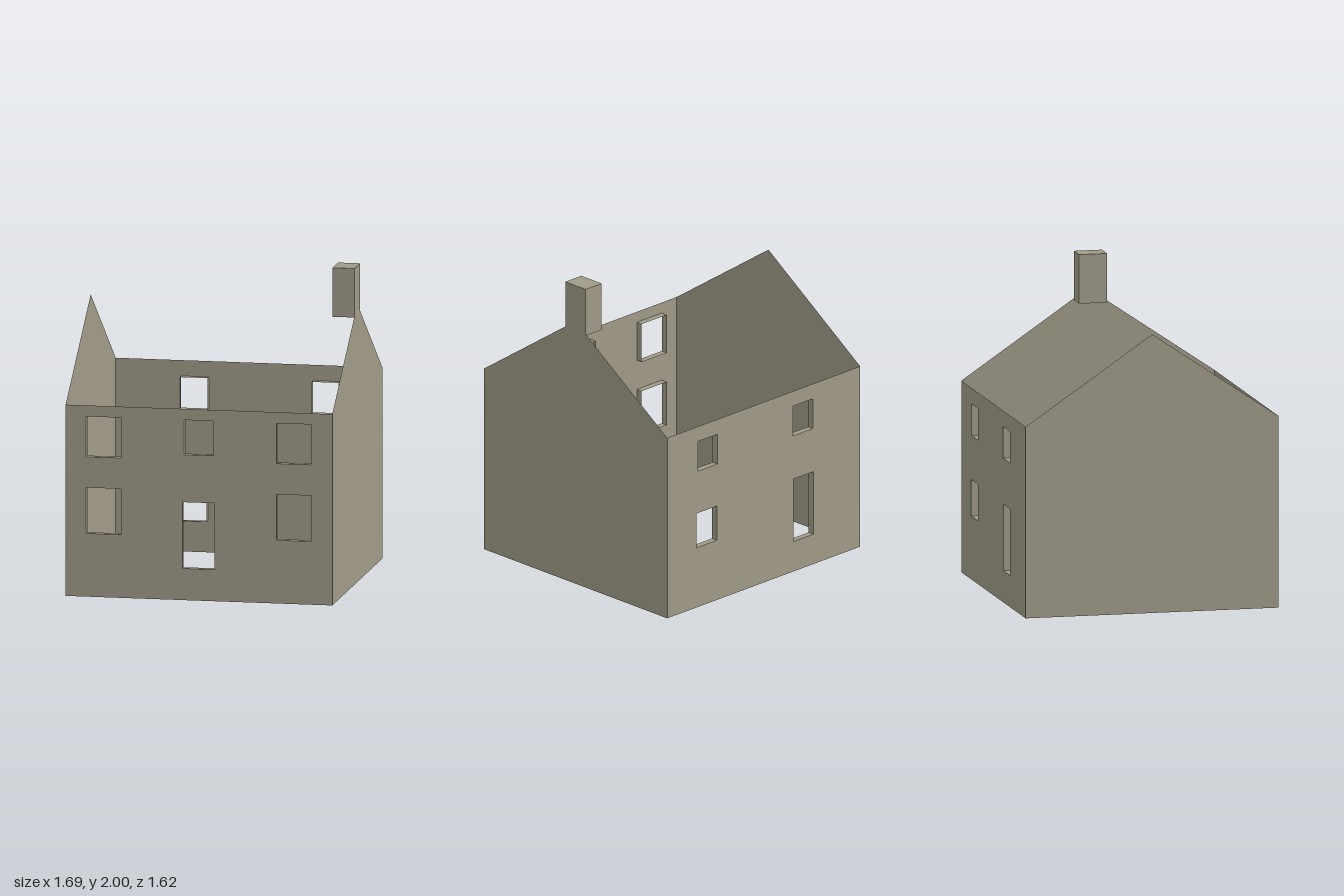
import * as THREE from 'three';

const W = 0.845, D = 0.81, EAVES = 1.21, REVEAL = 0.043;

// Openings as [x0, x1, y0, y1]
const frontOpenings = [
  [-0.715, -0.495, 0.885, 1.14], [-0.715, -0.495, 0.40, 0.69],
  [0.49, 0.71, 0.885, 1.14], [0.49, 0.71, 0.40, 0.69],
  [-0.095, 0.09, 0.92, 1.14],
  [-0.105, 0.10, 0.20, 0.62], // front door
];
const backOpenings = [
  [0.405, 0.577, 0.91, 1.11], [0.41, 0.587, 0.40, 0.63],
  [-0.43, -0.255, 0.91, 1.11],
  [-0.435, -0.26, 0.20, 0.62], // back door
];

function polygon(points) {
  return new THREE.Shape(points.map(([x, y]) => new THREE.Vector2(x, y)));
}

export function createModel() {
  const house = new THREE.Group();
  house.name = 'house';
  const stone = new THREE.MeshStandardMaterial({ color: 0xa09a87, side: THREE.DoubleSide });
  stone.name = 'stone';

  function add(parent, name, geometry) {
    const mesh = new THREE.Mesh(geometry, stone);
    mesh.name = name;
    parent.add(mesh);
    return mesh;
  }

  // Thin wall with openings, each lined by four reveals reaching inwards
  function longWall(name, openings, z) {
    const group = new THREE.Group();
    group.name = name;
    const shape = polygon([[-W, 0], [W, 0], [W, EAVES], [-W, EAVES]]);
    const inward = -Math.sign(z) * REVEAL / 2;
    for (const [x0, x1, y0, y1] of openings) {
      shape.holes.push(polygon([[x0, y0], [x0, y1], [x1, y1], [x1, y0]]));
      const cx = (x0 + x1) / 2, cy = (y0 + y1) / 2;
      for (const s of [-1, 1]) {
        const jamb = add(group, 'jamb', new THREE.PlaneGeometry(REVEAL, y1 - y0));
        jamb.rotation.y = -s * Math.PI / 2;
        jamb.position.set(s < 0 ? x0 : x1, cy, inward);
        const ledge = add(group, s < 0 ? 'sill' : 'lintel', new THREE.PlaneGeometry(x1 - x0, REVEAL));
        ledge.rotation.x = s * Math.PI / 2;
        ledge.position.set(cx, s < 0 ? y0 : y1, inward);
      }
    }
    const geometry = new THREE.ShapeGeometry(shape);
    if (z < 0) { // turn the back wall to face outwards
      geometry.rotateY(Math.PI);
      geometry.scale(-1, 1, 1);
      const index = geometry.index.array;
      for (let i = 0; i < index.length; i += 3) [index[i], index[i + 1]] = [index[i + 1], index[i]];
    }
    add(group, 'wallFace', geometry);
    group.position.z = z;
    house.add(group);
  }
  longWall('frontWall', frontOpenings, D);
  longWall('backWall', backOpenings, -D);

  // Gable ends; the left one is cut flat under the chimney
  const gable = (top) => new THREE.ShapeGeometry(polygon([[-D, 0], [D, 0], [D, EAVES], ...top, [-D, EAVES]]));
  const left = add(house, 'leftGable', gable([[0.09, 1.70], [-0.09, 1.70]]));
  left.rotation.y = Math.PI / 2;
  left.position.x = W;
  const right = add(house, 'rightGable', gable([[0, 1.76]]));
  right.rotation.y = -Math.PI / 2;
  right.position.x = -W;

  // Chimney
  const chimney = add(house, 'chimney', new THREE.BoxGeometry(0.14, 0.31, 0.18));
  chimney.position.set(W - 0.07, 1.845, 0);

  chimney.scale.y = 1;
  return house;
}
